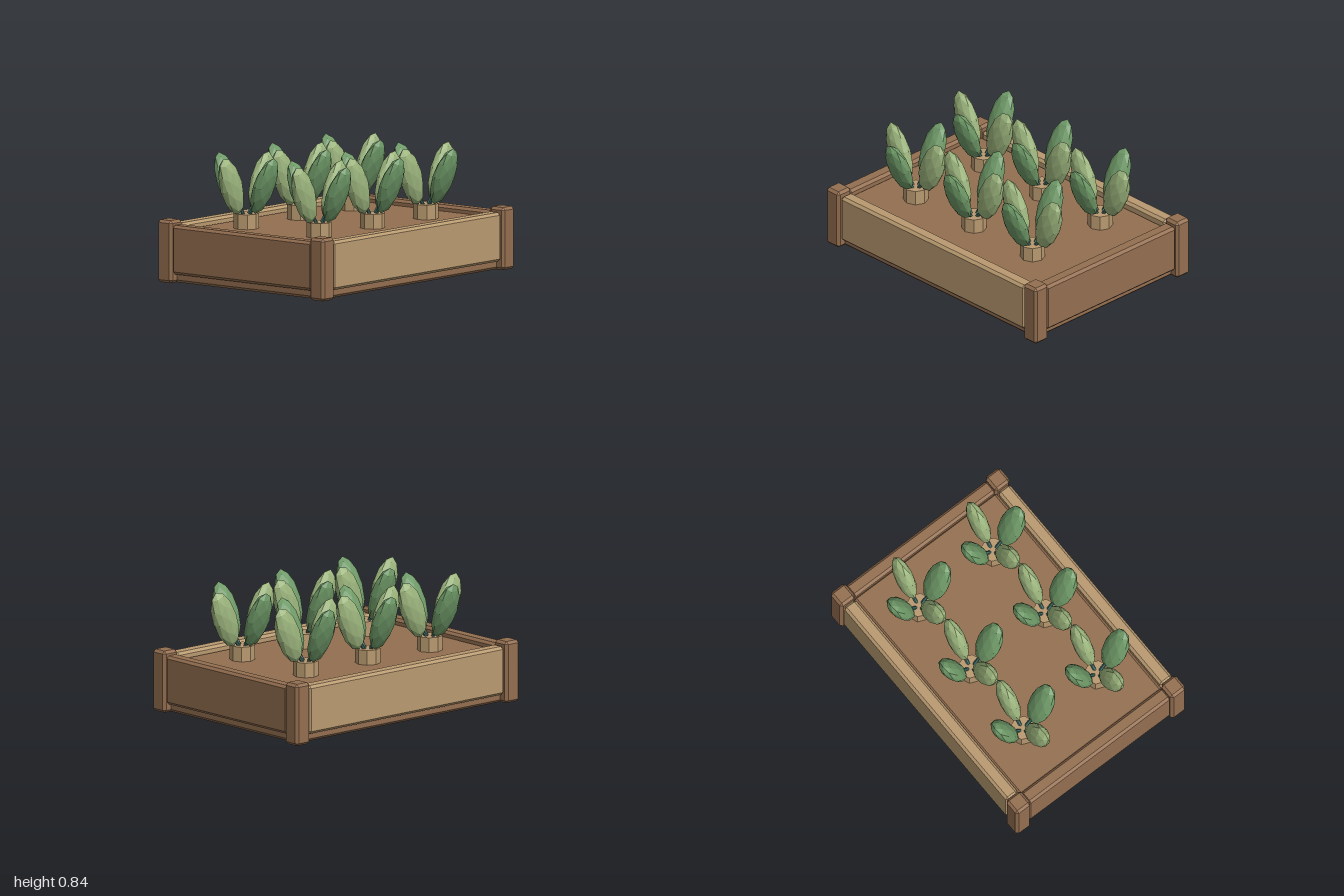
import * as THREE from 'three';
import { ConvexGeometry } from 'three/addons/geometries/ConvexGeometry.js';

const paint = (color) => new THREE.MeshStandardMaterial({ color, flatShading: true });

// Box with every edge chamfered, as the hull of 24 points
function chamferBox(w, h, d, b = 0.018) {
  const pts = [];
  for (const x of [-1, 1]) for (const y of [-1, 1]) for (const z of [-1, 1]) {
    for (let flat = 0; flat < 3; flat++) {
      const inset = [0, 1, 2].map((axis) => (axis === flat ? 0 : b));
      pts.push(new THREE.Vector3(
        x * (w / 2 - inset[0]), y * (h / 2 - inset[1]), z * (d / 2 - inset[2])));
    }
  }
  return new ConvexGeometry(pts);
}

export function createModel() {
  const model = new THREE.Group();
  const wood = paint(0x946f50);
  const paleWood = paint(0xb99a70);
  const lightLeaf = paint(0x9cb57d);
  const midLeaf = paint(0x6f9a68);
  const stemGreen = paint(0x41706a);

  function add(parent, name, geometry, material, x, y, z) {
    const mesh = new THREE.Mesh(geometry, material);
    mesh.name = name;
    mesh.position.set(x, y, z);
    parent.add(mesh);
    return mesh;
  }

  // Planter box: floor slab, soil, boards and corner posts
  add(model, 'base', chamferBox(1.88, 0.08, 1.32), wood, 0, 0.04, 0);
  add(model, 'soil', chamferBox(1.79, 0.29, 1.21), wood, 0, 0.205, 0);
  const longBoard = chamferBox(1.75, 0.33, 0.1);
  const sideBoard = chamferBox(0.1, 0.33, 1.21);
  const post = chamferBox(0.125, 0.42, 0.125);
  for (const s of [-1, 1]) {
    add(model, s > 0 ? 'frontBoard' : 'backBoard', longBoard, paleWood, 0, 0.225, s * 0.655);
    add(model, s > 0 ? 'leftBoard' : 'rightBoard', sideBoard, wood, s * 0.935, 0.225, 0);
    for (const t of [-1, 1]) add(model, 'cornerPost', post, wood, s * 0.9375, 0.21, t * 0.6575);
  }

  // Shared plant shapes; every leaf is broad along x and thin along z
  const pot = new THREE.CylinderGeometry(0.084, 0.084, 0.11, 8);
  const leaf = new THREE.IcosahedronGeometry(1, 1);
  const stemStart = new THREE.Vector3(0.01, 0.42, 0);
  const stemEnd = new THREE.Vector3(0.085, 0.52, 0);
  const stem = new THREE.CylinderGeometry(0.011, 0.013, stemStart.distanceTo(stemEnd), 6);
  const stemTilt = Math.atan2(stemEnd.x - stemStart.x, stemEnd.y - stemStart.y);
  const leafTilt = 0.4;

  function makePlant() {
    const plant = new THREE.Group();
    plant.name = 'plant';
    add(plant, 'plantCollar', pot, paleWood, 0, 0.395, 0);
    for (const [dx, dz] of [[1, 0], [-1, 0], [0, 1], [0, -1]]) {
      const blade = add(plant, 'leaf', leaf, dx ? lightLeaf : midLeaf, dx * 0.156, 0.646, dz * 0.156);
      blade.scale.set(0.094, 0.21, 0.058);
      blade.rotation.set(dz * leafTilt, 0, -dx * leafTilt);
      const r = (stemStart.x + stemEnd.x) / 2;
      const stalk = add(plant, 'stem', stem, stemGreen,
        dx * r, (stemStart.y + stemEnd.y) / 2, dz * r);
      stalk.rotation.set(dz * stemTilt, 0, -dx * stemTilt);
    }
    return plant;
  }

  // Two rows of three plants
  for (const z of [-0.315, 0.315]) for (const x of [-0.555, 0, 0.555]) {
    const plant = makePlant();
    plant.position.set(x, 0, z);
    model.add(plant);
  }
  return model;
}
